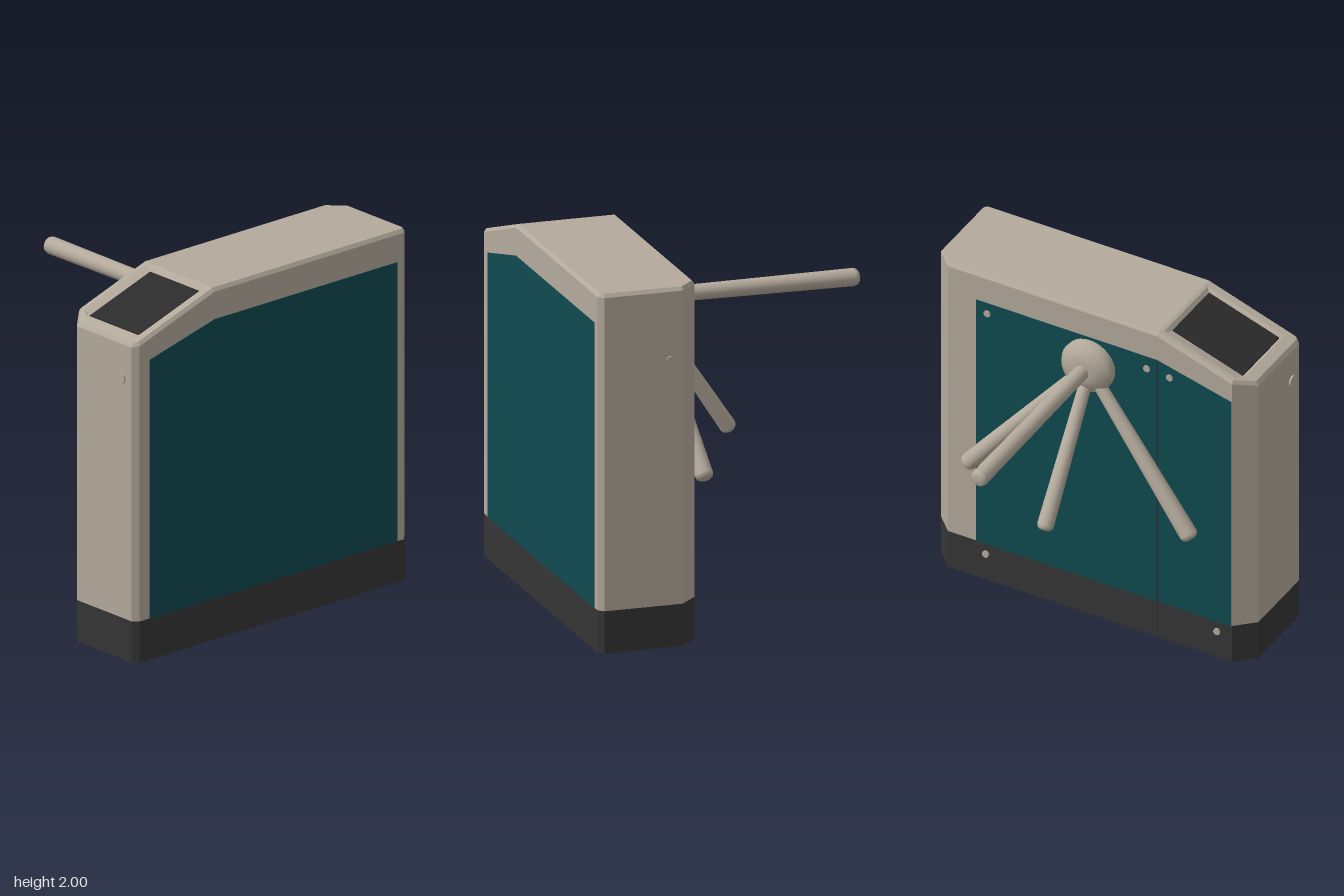
import * as THREE from 'three';

const mat = (name, color) => new THREE.MeshStandardMaterial({ name, color });
const clamp = THREE.MathUtils.clamp;

// Cabinet plan, counter-clockwise from above, split where the lid starts to slope
const KINK = 0.41;
const rearPlan = [[0.89, KINK], [0.89, -0.945], [0.86, -0.975], [0.42, -0.975], [0.32, -0.875], [0.32, KINK]];
const frontPlan = [[0.89, KINK], [0.32, KINK], [0.32, 0.87], [0.42, 0.975], [0.86, 0.975], [0.89, 0.945]];
const fullPlan = [...rearPlan, ...frontPlan.slice(2)];

// Lid underside and top heights along z
const lidLow = z => 1.825 - Math.max(0, z - KINK) * 0.25;
const lidTop = z => 2 - Math.max(0, z - KINK) * 0.33;

const ring = (plan, height) => plan.map(([x, z]) => new THREE.Vector3(x, height(z), z));
const inset = (plan, x0, x1, z0, z1) => plan.map(([x, z]) => [clamp(x, x0, x1), clamp(z, z0, z1)]);

// Closed solid from stacked rings with equal point counts
function loft(rings) {
  const pos = [];
  const tri = (a, b, c) => pos.push(...a.toArray(), ...b.toArray(), ...c.toArray());
  const n = rings[0].length;
  for (let i = 0; i < rings.length - 1; i++) {
    for (let j = 0; j < n; j++) {
      const k = (j + 1) % n, lo = rings[i], hi = rings[i + 1];
      tri(lo[j], lo[k], hi[k]);
      tri(lo[j], hi[k], hi[j]);
    }
  }
  const first = rings[0], last = rings[rings.length - 1];
  for (let j = 1; j < n - 1; j++) {
    tri(first[0], first[j + 1], first[j]);
    tri(last[0], last[j], last[j + 1]);
  }
  const g = new THREE.BufferGeometry();
  g.setAttribute('position', new THREE.Float32BufferAttribute(pos, 3));
  g.computeVertexNormals();
  return g;
}

export function createModel() {
  const model = new THREE.Group();
  model.name = 'turnstile';
  const metal = mat('warm brushed metal', 0xb4aa9c);
  const teal = mat('teal panel', 0x0f4a50);
  const dark = mat('dark plinth', 0x353535);
  const black = mat('black screen', 0x2b2b2b);

  const add = (name, geometry, material, parent = model) => {
    const m = new THREE.Mesh(geometry, material);
    m.name = name;
    parent.add(m);
    return m;
  };

  // Plinth and cabinet core
  add('plinth', loft([ring(fullPlan, () => 0), ring(fullPlan, () => 0.235)]), dark);
  add('cabinetRear', loft([ring(rearPlan, () => 0.235), ring(rearPlan, lidLow)]), metal);
  add('cabinetFront', loft([ring(frontPlan, () => 0.235), ring(frontPlan, lidLow)]), metal);

  // Lid: flat rear part, and sloped front part with a shallow screen recess
  const shoulder = z => lidTop(z) - 0.02;
  add('lidRear', loft([
    ring(rearPlan, lidLow), ring(rearPlan, shoulder),
    ring(inset(rearPlan, 0.335, 0.875, -0.96, KINK), lidTop),
  ]), metal);
  const screenPlan = inset(frontPlan, 0.42, 0.81, 0.45, 0.88);
  add('lidFront', loft([
    ring(frontPlan, lidLow), ring(frontPlan, shoulder),
    ring(inset(frontPlan, 0.335, 0.875, KINK, 0.96), lidTop),
    ring(inset(frontPlan, 0.36, 0.83, 0.43, 0.9), lidTop),
    ring(screenPlan, shoulder),
  ]), metal);
  add('screen', loft([ring(screenPlan, shoulder), ring(screenPlan, z => lidTop(z) - 0.012)]), black);

  // Side panels, following the sloped lid
  function sidePanel(name, x, z0, z1) {
    const pts = [[z0, 0.235], [z1, 0.235], [z1, lidLow(z1)], [KINK, lidLow(KINK)], [z0, lidLow(z0)]];
    const shape = new THREE.Shape(pts.map(p => new THREE.Vector2(...p)));
    const g = new THREE.ExtrudeGeometry(shape, { depth: 0.008, bevelEnabled: false });
    g.rotateY(-Math.PI / 2);
    add(name, g, teal).position.x = x;
  }
  sidePanel('rightPanel', 0.894, -0.895, 0.875);
  sidePanel('leftPanel', 0.324, -0.7, 0.868);
  add('panelSeam', new THREE.BoxGeometry(0.008, 1.82, 0.008), dark).position.set(0.317, 0.91, KINK);

  // Locks on the end faces and small fasteners on the barrier side
  for (const [name, x, z, r] of [['frontLock', 0.78, 0.978, 0.032], ['rearLock', 0.49, -0.978, 0.022]]) {
    const lock = add(name, new THREE.CylinderGeometry(r, r, 0.014, 20), metal);
    lock.rotation.x = Math.PI / 2;
    lock.position.set(x, 1.6, z);
  }
  for (const [y, z] of [[1.76, -0.63], [1.75, 0.35], [1.74, 0.49], [0.17, -0.64], [0.17, 0.78]]) {
    const f = add('fastener', new THREE.CylinderGeometry(0.02, 0.02, 0.014, 12), metal);
    f.rotation.z = Math.PI / 2;
    f.position.set(0.315, y, z);
  }

  // Rotating hub, turned about x
  const barrier = new THREE.Group();
  barrier.name = 'barrier';
  model.add(barrier);
  const hubProfile = [[0.155, 0], [0.158, 0.035], [0.145, 0.06], [0.1, 0.088], [0.06, 0.098], [0, 0.1]];
  const hub = add('hub', new THREE.LatheGeometry(hubProfile.map(p => new THREE.Vector2(...p)), 32), metal, barrier);
  hub.rotation.z = Math.PI / 2;
  hub.position.set(0.322, 1.655, 0);

  // Arms: slightly flared tubes with rounded tips
  function arm(name, from, to, r0, r1) {
    const a = new THREE.Vector3(...from), dir = new THREE.Vector3(...to).sub(a);
    const len = dir.length();
    const profile = [[0, 0], [r0, 0], [r1, len - 0.03], [r1 * 0.9, len - 0.012], [r1 * 0.6, len], [0, len]];
    const m = add(name, new THREE.LatheGeometry(profile.map(p => new THREE.Vector2(...p)), 20), metal, barrier);
    m.position.copy(a);
    m.quaternion.setFromUnitVectors(new THREE.Vector3(0, 1, 0), dir.normalize());
  }
  arm('blockingArm', [0.28, 1.655, 0], [-0.9, 1.652, 0], 0.042, 0.049);
  arm('droppedArm', [0.28, 1.57, 0], [-0.178, 0.87, 0], 0.035, 0.046);
  for (const [name, s] of [['frontArm', 1], ['rearArm', -1]]) {
    arm(name, [0.285, 1.57, s * 0.07], [0.195, 0.825, s * 0.69], 0.035, 0.05);
  }
  return model;
}
